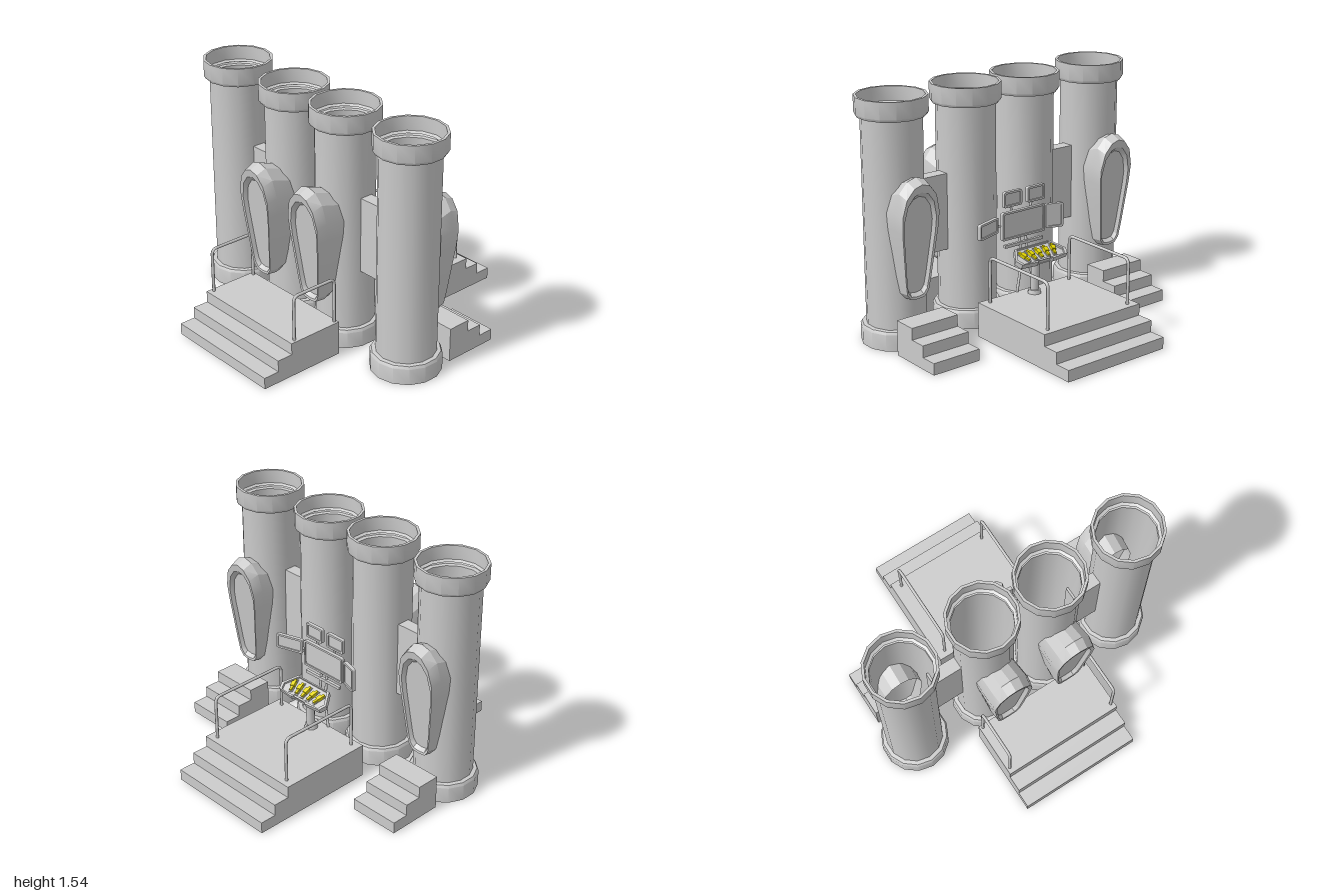
import * as THREE from 'three';
import { toCreasedNormals } from 'three/addons/utils/BufferGeometryUtils.js';

const grey = new THREE.MeshStandardMaterial({ color: 0xcccccc, side: THREE.DoubleSide });
const yellow = new THREE.MeshStandardMaterial({ color: 0xe6d800 });
const V3 = (x, y, z) => new THREE.Vector3(x, y, z);
const V2 = (x, y) => new THREE.Vector2(x, y);

function add(parent, name, geometry, material = grey) {
  const mesh = new THREE.Mesh(geometry, material);
  mesh.name = name;
  parent.add(mesh);
  return mesh;
}

function box(parent, name, w, h, d, x, y, z, material) {
  const mesh = add(parent, name, new THREE.BoxGeometry(w, h, d), material);
  mesh.position.set(x, y, z);
  return mesh;
}

function rod(parent, name, a, b, r0, r1 = r0) {
  const mesh = add(parent, name, new THREE.CylinderGeometry(r1, r0, a.distanceTo(b), 10));
  mesh.position.copy(a).lerp(b, 0.5);
  mesh.quaternion.setFromUnitVectors(V3(0, 1, 0), b.clone().sub(a).normalize());
  return mesh;
}

// Hollow column with a thicker collar at each end
function columnGeometry() {
  const bottom = [[0.187, 0.1], [0.205, 0.09], [0.205, 0], [0.222, 0], [0.222, 0.105], [0.212, 0.122], [0.187, 0.125]];
  const top = bottom.map(([r, y]) => [r, 1.545 - y]).reverse();
  const profile = [...bottom, ...top].map(([r, y]) => V2(r, y));
  return toCreasedNormals(new THREE.LatheGeometry(profile, 14), 0.6);
}

// Padded tray: loops of one tapered outline, running from the back to the recessed face
function podGeometry() {
  const half = [[0, 1], [0.06, 0.975], [0.115, 0.89], [0.143, 0.74], [0.138, 0.6], [0.12, 0.4], [0.1, 0.18], [0.085, 0.06], [0.055, 0.01], [0, 0]];
  const outline = [...half.map(([x, t]) => [-x, t]), ...half.slice(1, -1).reverse()];
  // width scale, top, bottom, depth from the sloping front
  const loops = [
    [0.95, 1.03, 0.36, null], [1, 1.09, 0.32, -0.07], [0.92, 1.06, 0.325, 0],
    [0.8, 1.01, 0.34, -0.004], [0.72, 0.98, 0.36, -0.03], [0, 0.98, 0.36, -0.03],
  ];
  const n = outline.length, positions = [], index = [];
  loops.forEach(([sx, top, bottom, dz], i) => outline.forEach(([x, t], j) => {
    const y = bottom + (top - bottom) * t;
    const front = 0.285 + 0.075 * (y - 0.32) / 0.77;
    positions.push(x * sx, y, dz === null ? 0.12 : front + dz);
    if (i === loops.length - 1) return;
    const a = i * n + j, b = i * n + (j + 1) % n;
    index.push(a, b, b + n, a, b + n, a + n);
  }));
  const g = new THREE.BufferGeometry();
  g.setAttribute('position', new THREE.Float32BufferAttribute(positions, 3));
  g.setIndex(index);
  return toCreasedNormals(g, 0.45);
}

// Three-step block, open underneath, with its steps towards +z
function stairsGeometry(width, zBack, zTop, zEnd) {
  const d = (zEnd - zTop) / 2, h = 0.075;
  const shape = new THREE.Shape([
    V2(zBack, 0), V2(zEnd, 0), V2(zEnd, h), V2(zTop + d, h), V2(zTop + d, 2 * h),
    V2(zTop, 2 * h), V2(zTop, 3 * h), V2(zBack, 3 * h),
  ]);
  const solid = new THREE.ExtrudeGeometry(shape, { depth: width, bevelEnabled: false });
  solid.rotateY(-Math.PI / 2).translate(width / 2, 0, 0);
  const p = solid.attributes.position, kept = [];
  for (let i = 0; i < p.count; i += 3) {
    if (Math.max(p.getY(i), p.getY(i + 1), p.getY(i + 2)) < 1e-4) continue;
    for (let k = i; k < i + 3; k++) kept.push(p.getX(k), p.getY(k), p.getZ(k));
  }
  const g = new THREE.BufferGeometry();
  g.setAttribute('position', new THREE.Float32BufferAttribute(kept, 3));
  g.computeVertexNormals();
  return g;
}

// Bent tube handrail with two posts
function railGeometry(x, z0, z1) {
  const y0 = 0.22, y1 = 0.52, r = 0.04, s = Math.sign(z1 - z0) * r;
  const path = new THREE.CurvePath();
  path.add(new THREE.LineCurve3(V3(x, y0, z0), V3(x, y1 - r, z0)));
  path.add(new THREE.QuadraticBezierCurve3(V3(x, y1 - r, z0), V3(x, y1, z0), V3(x, y1, z0 + s)));
  path.add(new THREE.LineCurve3(V3(x, y1, z0 + s), V3(x, y1, z1 - s)));
  path.add(new THREE.QuadraticBezierCurve3(V3(x, y1, z1 - s), V3(x, y1, z1), V3(x, y1 - r, z1)));
  path.add(new THREE.LineCurve3(V3(x, y1 - r, z1), V3(x, y0, z1)));
  return new THREE.TubeGeometry(path, 72, 0.01, 8);
}

function roundedRect(path, w, h, r) {
  const x = w / 2, y = h / 2;
  path.moveTo(-x + r, -y).lineTo(x - r, -y).quadraticCurveTo(x, -y, x, -y + r);
  path.lineTo(x, y - r).quadraticCurveTo(x, y, x - r, y).lineTo(-x + r, y);
  path.quadraticCurveTo(-x, y, -x, y - r).lineTo(-x, -y + r).quadraticCurveTo(-x, -y, -x + r, -y);
  return path;
}

// Framed screen facing the operator (-z)
function monitor(parent, name, w, h, x, y, z, turn = 0) {
  const g = new THREE.Group();
  g.name = name;
  const shape = roundedRect(new THREE.Shape(), w, h, 0.012);
  shape.holes.push(roundedRect(new THREE.Path(), w - 0.026, h - 0.026, 0.006));
  add(g, 'screenFrame', new THREE.ExtrudeGeometry(shape, { depth: 0.024, bevelEnabled: false, curveSegments: 3 }))
    .position.z = -0.012;
  box(g, 'screen', w - 0.02, h - 0.02, 0.014, 0, 0, 0.003);
  g.position.set(x, y, z);
  g.rotation.y = turn;
  parent.add(g);
}

function createConsole() {
  const g = new THREE.Group();
  g.name = 'console';

  // Pedestal and tilted control desk
  rod(g, 'pedestalFoot', V3(0, 0.22, -0.215), V3(0, 0.25, -0.215), 0.045, 0.038);
  rod(g, 'pedestal', V3(0, 0.24, -0.215), V3(0, 0.48, -0.225), 0.028);
  const desk = new THREE.Group();
  desk.name = 'desk';
  const plan = s => [[-0.14, 0.075], [0.14, 0.075], [0.2, -0.02], [0.18, -0.065], [0.06, -0.075],
    [0.05, -0.06], [-0.05, -0.06], [-0.06, -0.075], [-0.18, -0.065], [-0.2, -0.02]].map(([x, z]) => V2(x * s, -z * s));
  const rim = new THREE.Shape(plan(1));
  rim.holes.push(new THREE.Path(plan(0.9)));
  const flat = (shape, depth) => new THREE.ExtrudeGeometry(shape, { depth, bevelEnabled: false }).rotateX(-Math.PI / 2);
  add(desk, 'deskRim', flat(rim, 0.032));
  add(desk, 'deskTop', flat(new THREE.Shape(plan(0.94)), 0.018));
  for (let i = -2; i <= 2; i++) {
    const lever = new THREE.Group();
    lever.name = 'lever';
    box(lever, 'leverSlot', 0.026, 0.008, 0.1, 0, 0, 0);
    box(lever, 'leverArm', 0.016, 0.016, 0.085, 0, 0.008, 0, yellow);
    box(lever, 'leverGrip', 0.028, 0.02, 0.035, 0, 0.012, 0.005, yellow);
    lever.position.set(i * 0.058, 0.02, 0.002);
    lever.rotation.y = i * 0.16;
    desk.add(lever);
  }
  desk.position.set(0, 0.475, -0.245);
  desk.rotation.x = -0.42;
  g.add(desk);

  // Screen stand
  for (const s of [-1, 1]) {
    rod(g, 'standLeg', V3(s * 0.08, 0.225, -0.14), V3(s * 0.025, 0.4, -0.115), 0.009);
    rod(g, 'standPost', V3(s * 0.025, 0.4, -0.115), V3(s * 0.025, 0.62, -0.09), 0.009);
    rod(g, 'screenArm', V3(s * 0.06, 0.7, -0.08), V3(s * 0.1, 0.83, -0.08), 0.008);
    rod(g, 'sideArm', V3(s * 0.12, 0.66, -0.08), V3(s * 0.22, 0.67, -0.09), 0.008);
    monitor(g, 'upperScreen', 0.14, 0.1, s * 0.092 - 0.01, 0.83, -0.095);
  }
  box(g, 'standBar', 0.3, 0.02, 0.02, 0, 0.53, -0.105);
  monitor(g, 'mainScreen', 0.34, 0.18, 0, 0.66, -0.1);
  monitor(g, 'wideSideScreen', 0.19, 0.1, 0.29, 0.68, -0.12, 0.3);
  monitor(g, 'tallSideScreen', 0.12, 0.16, -0.24, 0.66, -0.115, -0.3);
  return g;
}

export function createModel() {
  const model = new THREE.Group();
  model.name = 'columnStation';
  const column = columnGeometry(), pod = podGeometry();
  const sideStairs = stairsGeometry(0.335, 0.05, 0.205, 0.42);

  for (const s of [-1, 1]) {
    // Columns, joining panels and pods
    for (const x of [0.232, 0.778]) add(model, 'column', column).position.set(s * x, 0, 0.175);
    box(model, 'joiningPanel', 0.21, 0.49, 0.085, s * 0.505, 0.755, 0.172);
    add(model, 'frontPod', pod).position.set(s * 0.228, 0, 0.175);
    const rear = add(model, 'rearPod', pod);
    rear.position.set(s * 0.775, 0, 0.23);
    rear.rotation.y = Math.PI;

    // Side steps and handrails
    const stairs = add(model, 'sideSteps', sideStairs);
    stairs.position.x = s * 0.76;
    stairs.rotation.y = Math.PI;
    add(model, 'frontHandrail', railGeometry(s * 0.392, 0.408, 0.725));
    add(model, 'rearHandrail', railGeometry(s * 0.32, -0.175, -0.72));
  }

  // Main platforms
  add(model, 'frontPlatform', stairsGeometry(0.83, 0.39, 0.765, 0.975));
  add(model, 'rearPlatform', stairsGeometry(0.76, 0.13, 0.765, 0.98)).rotation.y = Math.PI;

  model.add(createConsole());
  return model;
}
